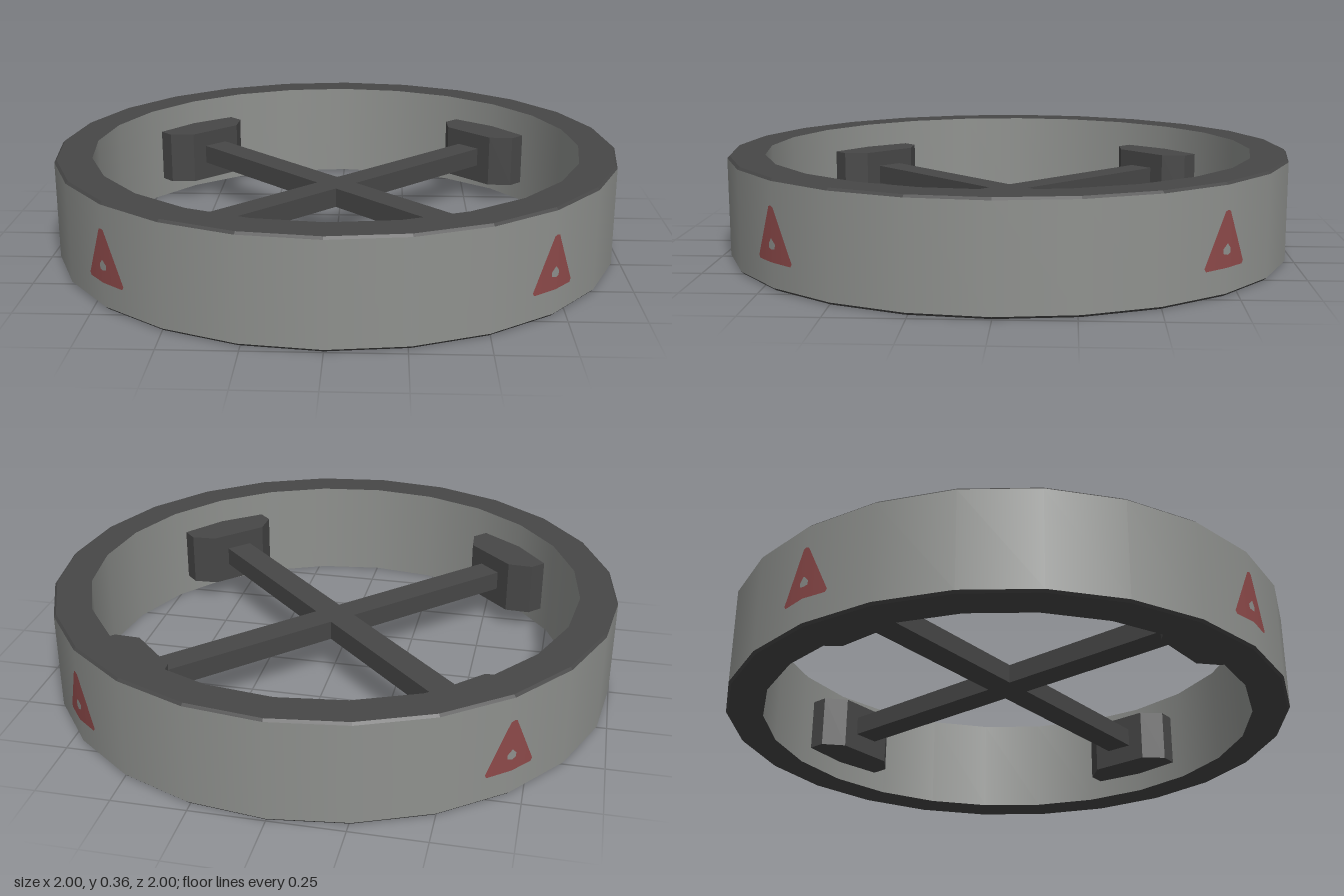
import * as THREE from 'three';

export function createModel() {
  const model = new THREE.Group();
  model.name = 'spokedRing';

  const mat = (name, color) => {
    const m = new THREE.MeshStandardMaterial({ color });
    m.name = name;
    return m;
  };
  const wallGray = mat('wall gray', 0x8f918e);
  const darkGray = mat('dark gray', 0x474747);
  const red = mat('faded red', 0x8e4a4a);

  const add = (parent, name, geometry, material) => {
    const mesh = new THREE.Mesh(geometry, material);
    mesh.name = name;
    parent.add(mesh);
    return mesh;
  };

  // Ring: 24 sides, smooth walls and flat dark rims with a small outer bevel
  const H = 0.36, R_IN = 0.87, B = 0.008, SIDES = 24;
  const lathe = (points) =>
    new THREE.LatheGeometry(points.map(([r, y]) => new THREE.Vector2(r, y)), SIDES);
  const flat = (geometry) => {
    const g = geometry.toNonIndexed();
    g.computeVertexNormals();
    return g;
  };
  add(model, 'outerWall', lathe([[1, B], [1, H - B]]), wallGray);
  add(model, 'innerWall', lathe([[R_IN, H], [R_IN, 0]]), wallGray);
  add(model, 'topRim', flat(lathe([[1, H - B], [1 - B, H], [R_IN, H]])), darkGray);
  add(model, 'bottomRim', flat(lathe([[R_IN, 0], [1 - B, 0], [1, B]])), darkGray);

  // Two crossing spokes
  for (const side of [1, -1]) {
    const spoke = add(model, 'spoke', new THREE.BoxGeometry(0.1, 0.07, 1.5), darkGray);
    spoke.position.y = H / 2 - 0.005;
    spoke.rotation.y = side * Math.PI / 4;
  }

  // Chamfered mounting block, outline in plan (x across, y outward)
  const blockShape = new THREE.Shape([
    [-0.11, 0.725], [0.11, 0.725], [0.177, 0.785], [0.177, 0.87],
    [0.11, 0.91], [-0.11, 0.91], [-0.177, 0.87], [-0.177, 0.785],
  ].map(([x, y]) => new THREE.Vector2(x, y)));
  const blockGeometry = new THREE.ExtrudeGeometry(blockShape, { depth: 0.195, bevelEnabled: false });
  blockGeometry.rotateX(Math.PI / 2).translate(0, 0.268, 0);

  // Triangle marking with a small hole, made of two halves folded over a ring corner
  const half = [
    [0, 0.17], [0, 0.275], [0.012, 0.27], [0.095, 0.1], [0.088, 0.09],
    [0, 0.092], [0, 0.133], [0.016, 0.137], [0.018, 0.152],
  ];
  const halfShape = (s) => new THREE.Shape(half.map(([x, y]) => new THREE.Vector2(s * x, y)));
  const markGeometry = new THREE.ShapeGeometry([halfShape(1), halfShape(-1)]);
  const p = markGeometry.attributes.position, n = markGeometry.attributes.normal;
  for (let i = 0; i < p.count; i++) {
    const x = p.getX(i), z = 1.004 - Math.abs(x) * Math.tan(Math.PI / SIDES);
    p.setZ(i, z);
    const len = Math.hypot(x, z);
    n.setXYZ(i, x / len, 0, z / len);
  }

  // One block and one marking at each diagonal
  for (let i = 0; i < 4; i++) {
    const mount = new THREE.Group();
    mount.name = 'spokeMount';
    mount.rotation.y = Math.PI / 4 + i * Math.PI / 2;
    add(mount, 'mountingBlock', blockGeometry, darkGray);
    add(mount, 'triangleMarking', markGeometry, red);
    model.add(mount);
  }
  return model;
}
